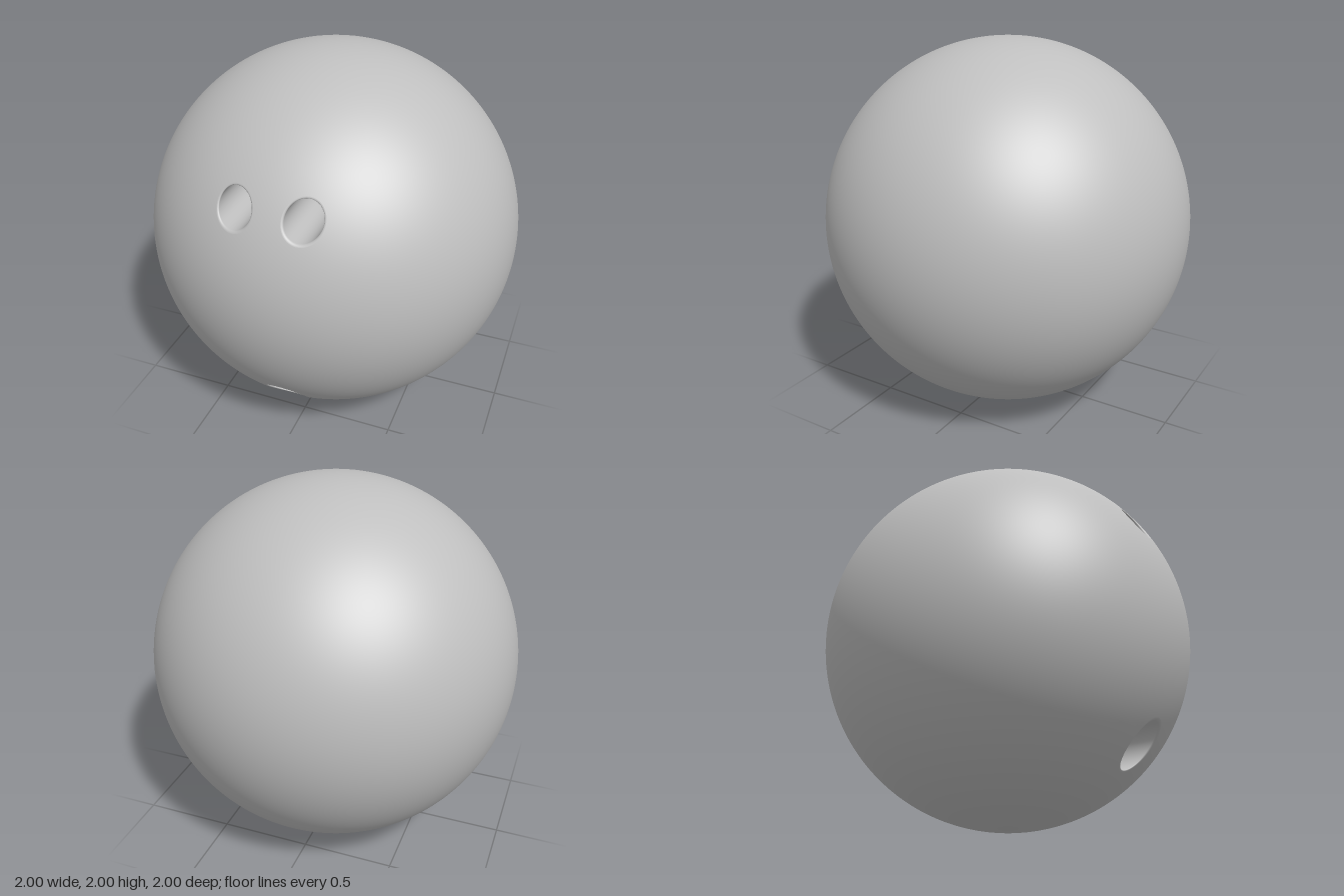
import * as THREE from 'three';

const STEP = 1.5; // degrees between grid lines on the ball
const rad = THREE.MathUtils.degToRad;
const sphereZ = (x, y) => Math.sqrt(Math.max(0, 1 - x * x - y * y));

// Each hole is drilled straight back along z inside a longitude/latitude cell of the ball
const finger = (side) => ({
  name: side > 0 ? 'leftFingerHole' : 'rightFingerHole',
  x: 0.168 * side, y: 0.49, rim: 0.1, bore: 0.089, floor: 0.36,
  lon: side > 0 ? [3, 21] : [-21, -3], lat: [21, 39],
});
const HOLES = [
  finger(1),
  finger(-1),
  { name: 'thumbHole', x: 0, y: -0.665, rim: 0.12, bore: 0.108, floor: 0.25, lon: [-12, 12], lat: [-54, -30] },
];

// Skin a list of closed rings, ordered from outside to inside
function loft(rings) {
  const n = rings[0].length, index = [];
  for (let k = 0; k < rings.length - 1; k++) {
    for (let i = 0; i < n; i++) {
      const j = (i + 1) % n;
      const a = k * n + i, b = k * n + j, c = b + n, d = a + n;
      index.push(a, b, d, b, c, d);
    }
  }
  const geometry = new THREE.BufferGeometry().setFromPoints(rings.flat());
  geometry.setIndex(index);
  geometry.computeVertexNormals();
  return geometry;
}

// Ball with the cells around the holes left out
function ballGeometry() {
  const geometry = new THREE.SphereGeometry(1, 360 / STEP, 180 / STEP);
  const pos = geometry.attributes.position, old = geometry.index.array, kept = [];
  const p = new THREE.Vector3(), q = new THREE.Vector3();
  for (let i = 0; i < old.length; i += 3) {
    p.set(0, 0, 0);
    for (let k = 0; k < 3; k++) p.add(q.fromBufferAttribute(pos, old[i + k]));
    p.normalize();
    const lon = THREE.MathUtils.radToDeg(Math.atan2(p.x, p.z));
    const lat = THREE.MathUtils.radToDeg(Math.asin(p.y));
    const cut = HOLES.some((h) => lon > h.lon[0] && lon < h.lon[1] && lat > h.lat[0] && lat < h.lat[1]);
    if (!cut) kept.push(old[i], old[i + 1], old[i + 2]);
  }
  geometry.setIndex(kept);
  return geometry;
}

// Grid points around the border of a hole's cell, counter-clockwise
function cellBorder({ lon, lat }) {
  const corners = [[lon[0], lat[0]], [lon[1], lat[0]], [lon[1], lat[1]], [lon[0], lat[1]]];
  const points = [];
  corners.forEach(([u0, v0], k) => {
    const [u1, v1] = corners[(k + 1) % 4];
    const steps = Math.round((Math.abs(u1 - u0) + Math.abs(v1 - v0)) / STEP);
    for (let i = 0; i < steps; i++) {
      const u = rad(u0 + ((u1 - u0) * i) / steps), v = rad(v0 + ((v1 - v0) * i) / steps);
      points.push(new THREE.Vector3(Math.sin(u) * Math.cos(v), Math.sin(v), Math.cos(u) * Math.cos(v)));
    }
  });
  return points;
}

function createHole(hole, material) {
  const group = new THREE.Group();
  group.name = hole.name;
  const add = (geometry, name) => {
    const mesh = new THREE.Mesh(geometry, material);
    mesh.name = name;
    group.add(mesh);
    return mesh;
  };
  const border = cellBorder(hole);
  const angles = border.map((p) => Math.atan2(p.y - hole.y, p.x - hole.x));
  const ring = (r, depth) => angles.map((a) => {
    const x = hole.x + r * Math.cos(a), y = hole.y + r * Math.sin(a);
    return new THREE.Vector3(x, y, depth(x, y));
  });

  // Ball surface between the cell border and the rim
  const rim = ring(hole.rim, sphereZ);
  const surface = [border];
  for (let k = 1; k <= 5; k++) {
    surface.push(border.map((p, i) => {
      const q = p.clone().lerp(rim[i], k / 5);
      return q.setZ(sphereZ(q.x, q.y));
    }));
  }
  const skin = loft(surface);
  skin.setAttribute('normal', skin.attributes.position.clone());
  add(skin, 'surroundingSurface');

  // Rounded lip running into a straight bore
  const lip = hole.rim - hole.bore, rings = [];
  for (let k = 0; k <= 6; k++) {
    const a = (k / 6) * Math.PI / 2;
    rings.push(ring(hole.rim - lip * Math.sin(a), (x, y) => sphereZ(x, y) - lip * (1 - Math.cos(a))));
  }
  rings.push(ring(hole.bore, () => hole.floor));
  add(loft(rings), 'lipAndBore');

  // Flat bottom
  const floor = add(new THREE.CircleGeometry(hole.bore, 64), 'holeFloor');
  floor.position.set(hole.x, hole.y, hole.floor);
  return group;
}

export function createModel() {
  const material = new THREE.MeshStandardMaterial({ color: 0xbfbfbf });
  material.name = 'grey';
  const model = new THREE.Group();
  model.name = 'bowlingBall';
  const body = new THREE.Group();
  body.name = 'ball';
  body.position.y = 1;
  const shell = new THREE.Mesh(ballGeometry(), material);
  shell.name = 'shell';
  body.add(shell);
  HOLES.forEach((hole) => body.add(createHole(hole, material)));
  model.add(body);
  return model;
}
